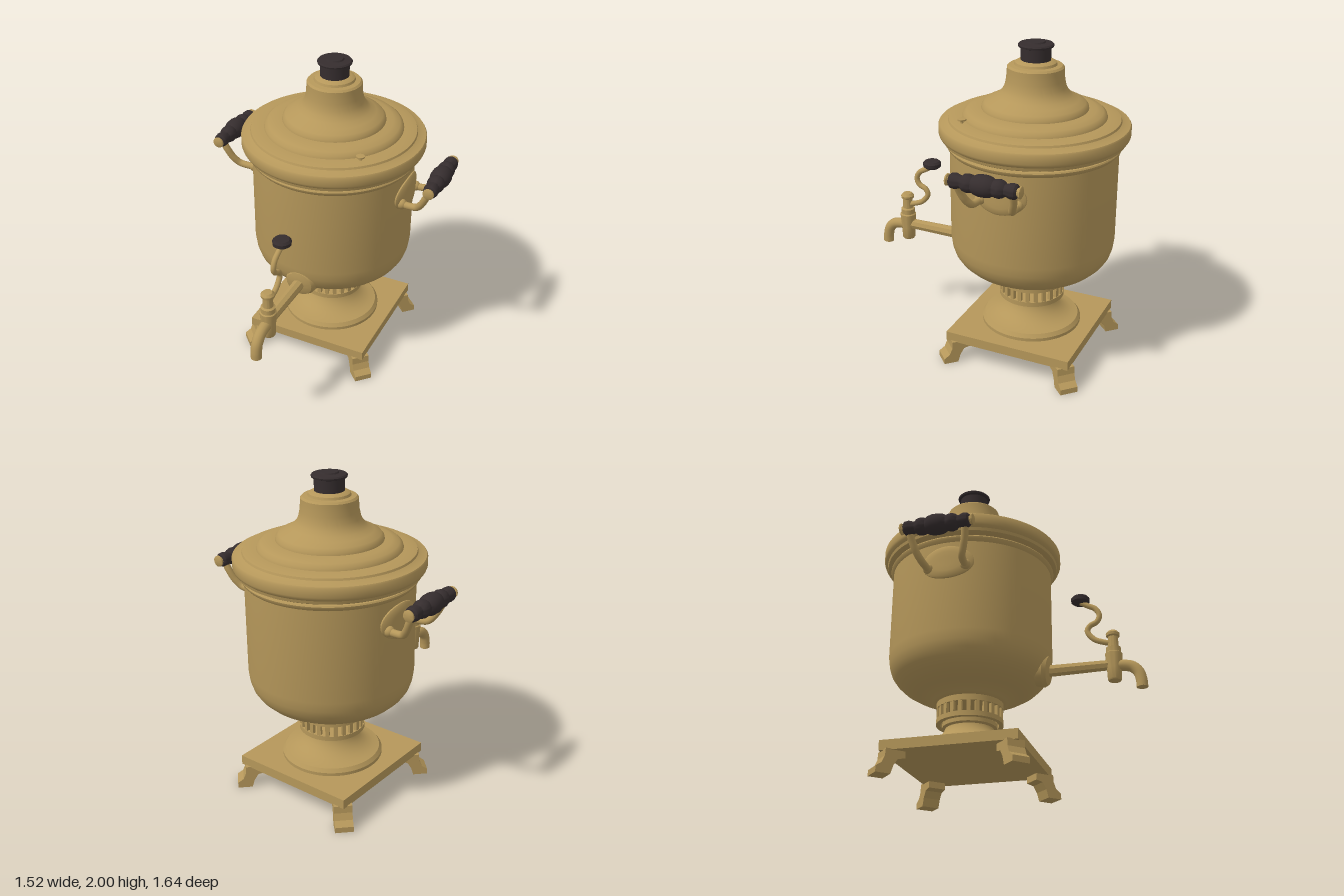
import * as THREE from 'three';
import { toCreasedNormals } from 'three/addons/utils/BufferGeometryUtils.js';

const AXIS_Z = -0.255; // the urn stands behind the tap

export function createModel() {
  const brass = new THREE.MeshStandardMaterial({ color: 0xb5975a });
  brass.name = 'brass';
  const ebony = new THREE.MeshStandardMaterial({ color: 0x352d2e });
  ebony.name = 'ebony';

  const model = new THREE.Group();
  model.name = 'samovar';
  const urn = new THREE.Group();
  urn.name = 'urn';
  urn.position.z = AXIS_Z;
  model.add(urn);

  const add = (parent, name, geometry, material = brass) => {
    const mesh = new THREE.Mesh(geometry, material);
    mesh.name = name;
    parent.add(mesh);
    return mesh;
  };
  const turned = (profile, segments = 64) => toCreasedNormals(
    new THREE.LatheGeometry(profile.map(([r, y]) => new THREE.Vector2(r, y)), segments), 0.6);
  const bentRod = (points, radius, steps = 40) => new THREE.TubeGeometry(
    new THREE.CatmullRomCurve3(points.map(p => new THREE.Vector3(...p)), false, 'centripetal'),
    steps, radius, 14);

  // Square plinth on four splayed feet
  add(urn, 'plinth', new THREE.BoxGeometry(0.81, 0.06, 0.81)).position.y = 0.17;
  const footSide = new THREE.Shape([
    [0.43, 0.145], [0.43, 0.1], [0.475, 0.09], [0.5, 0.05], [0.515, 0], [0.605, 0],
    [0.605, 0.035], [0.57, 0.06], [0.553, 0.1], [0.55, 0.145],
  ].map(p => new THREE.Vector2(...p)));
  const footGeometry = new THREE.ExtrudeGeometry(footSide, { depth: 0.11, bevelEnabled: false });
  footGeometry.translate(0, 0, -0.055);
  for (let i = 0; i < 4; i++) {
    add(urn, 'foot', footGeometry).rotation.y = Math.PI / 4 + i * Math.PI / 2;
  }

  // Flared pedestal
  add(urn, 'pedestal', turned([
    [0, 0.195], [0.312, 0.195], [0.312, 0.22], [0.295, 0.243], [0.255, 0.252], [0.22, 0.268],
    [0.19, 0.288], [0.168, 0.312], [0.152, 0.338], [0.148, 0.352], [0.165, 0.36], [0.165, 0.385], [0, 0.385],
  ]));

  // Open vent ring: two hoops joined by bars
  const hoop = (y0, y1) => turned([[0.175, y0], [0.203, y0], [0.203, y1], [0.175, y1], [0.175, y0]]);
  add(urn, 'lowerVentHoop', hoop(0.38, 0.41));
  add(urn, 'upperVentHoop', hoop(0.475, 0.515));
  const barGeometry = new THREE.BoxGeometry(0.024, 0.08, 0.022);
  barGeometry.translate(0, 0.443, 0.189);
  const BARS = 24;
  for (let i = 0; i < BARS; i++) {
    add(urn, 'ventBar', barGeometry).rotation.y = i * 2 * Math.PI / BARS;
  }

  // Water vessel
  add(urn, 'vessel', turned([
    [0, 0.51], [0.2, 0.51], [0.225, 0.525], [0.25, 0.545], [0.31, 0.565], [0.365, 0.59], [0.415, 0.62],
    [0.455, 0.658], [0.48, 0.695], [0.495, 0.74], [0.503, 0.8], [0.503, 1.365], [0.517, 1.38],
    [0.52, 1.392], [0.515, 1.4], [0.495, 1.402], [0.495, 1.415], [0, 1.415],
  ], 96));

  // Stepped lid with chimney
  add(urn, 'lid', turned([
    [0, 1.412], [0.525, 1.412], [0.54, 1.42], [0.545, 1.438], [0.56, 1.45], [0.566, 1.465], [0.566, 1.515],
    [0.56, 1.524], [0.53, 1.53], [0.51, 1.54], [0.505, 1.552], [0.47, 1.56], [0.425, 1.562],
    [0.42, 1.578], [0.4, 1.595], [0.36, 1.607], [0.315, 1.61], [0.312, 1.625], [0.295, 1.645],
    [0.255, 1.665], [0.22, 1.685], [0.195, 1.71], [0.18, 1.74], [0.171, 1.78], [0.167, 1.83],
    [0.166, 1.852], [0.155, 1.863], [0.125, 1.866], [0.12, 1.88], [0.1, 1.892], [0, 1.892],
  ], 96));
  add(urn, 'lidKnob', turned([
    [0, 1.888], [0.087, 1.888], [0.088, 1.965], [0.102, 1.97], [0.105, 1.98], [0.098, 1.988],
    [0.055, 1.992], [0.05, 2], [0, 2],
  ], 48), ebony);
  add(urn, 'steamVent', turned([
    [0, 1.54], [0.01, 1.54], [0.01, 1.57], [0.026, 1.577], [0.026, 1.586], [0, 1.588],
  ], 20)).position.set(0.315, 0, 0.32);

  // Side handles: curved back plate, two arms, turned grip
  const plateGeometry = new THREE.LatheGeometry([[1, -0.01], [1, 0.008], [0.9, 0.016], [0.6, 0.02],
    [0.3, 0.02], [0, 0.02]].map(p => new THREE.Vector2(...p)), 48);
  const at = plateGeometry.attributes.position;
  for (let i = 0; i < at.count; i++) {
    const z = at.getZ(i) * 0.16;
    const r = 0.503 + at.getY(i);
    at.setXYZ(i, Math.sqrt(r * r - z * z), 1.23 - at.getX(i) * 0.105, z);
  }
  const handlePlate = toCreasedNormals(plateGeometry, 0.6);

  const half = [[0.033, 0.2], [0.042, 0.19], [0.045, 0.165], [0.036, 0.138], [0.036, 0.13], [0.048, 0.115],
    [0.053, 0.095], [0.051, 0.075], [0.046, 0.062], [0.056, 0.045], [0.062, 0.02]];
  const gripProfile = [[0, -0.2], ...half.map(([r, y]) => [r, -y]),
    ...half.slice().reverse(), [0, 0.2]];
  const gripGeometry = turned(gripProfile, 32).rotateX(Math.PI / 2);
  const ferrule = turned([[0, 0.195], [0.024, 0.195], [0.024, 0.207], [0.034, 0.212],
    [0.034, 0.22], [0.025, 0.225], [0, 0.225]], 24);

  for (const turn of [0, Math.PI]) {
    const handle = new THREE.Group();
    handle.name = turn ? 'rightHandle' : 'leftHandle';
    handle.rotation.y = turn;
    urn.add(handle);
    add(handle, 'backPlate', handlePlate);
    const grip = add(handle, 'grip', gripGeometry, ebony);
    grip.position.set(0.7, 1.375, 0);
    for (const s of [-1, 1]) {
      add(handle, 'arm', bentRod([
        [0.48, 1.2, s * 0.115], [0.56, 1.198, s * 0.118], [0.605, 1.208, s * 0.125],
        [0.64, 1.25, s * 0.145], [0.67, 1.31, s * 0.162], [0.7, 1.375, s * 0.17],
      ], 0.022));
      const boss = add(handle, 'armBoss', new THREE.SphereGeometry(0.032, 20, 14));
      boss.position.set(0.505, 1.2, s * 0.115);
      const cap = add(handle, 'gripFerrule', ferrule);
      cap.position.set(0.7, 1.375, 0);
      cap.rotation.x = s * Math.PI / 2;
    }
  }

  // Tap: rosette, faceted pipe, valve and spout
  const tap = new THREE.Group();
  tap.name = 'tap';
  model.add(tap);
  const rosette = add(tap, 'rosette', turned([
    [0, -0.06], [0.095, -0.06], [0.1, -0.015], [0.085, 0.008], [0.055, 0.018], [0, 0.02],
  ], 40));
  rosette.rotation.x = Math.PI / 2 + 0.12;
  rosette.position.set(0, 0.685, 0.228);
  const pipe = add(tap, 'pipe', toCreasedNormals(new THREE.CylinderGeometry(0.033, 0.038, 0.4, 8), 0.4));
  pipe.rotation.x = Math.PI / 2;
  pipe.position.set(0, 0.683, 0.42);
  add(tap, 'valve', turned([
    [0, 0.58], [0.036, 0.58], [0.041, 0.588], [0.044, 0.66], [0.051, 0.742], [0.051, 0.752], [0.044, 0.758],
    [0.044, 0.79], [0.032, 0.797], [0.03, 0.86], [0.04, 0.866], [0.042, 0.882], [0.028, 0.898], [0, 0.9],
  ], 32)).position.z = 0.632;
  add(tap, 'spout', bentRod([
    [0, 0.67, 0.63], [0, 0.672, 0.69], [0, 0.658, 0.74], [0, 0.62, 0.775], [0, 0.57, 0.788], [0, 0.525, 0.79],
  ], 0.034));
  const mouth = add(tap, 'spoutMouth', new THREE.CircleGeometry(0.034, 20));
  mouth.rotation.x = Math.PI / 2;
  mouth.position.set(0, 0.526, 0.79);

  // Winding tap lever with a dark knob
  add(tap, 'lever', bentRod([
    [0, 0.82, 0.63], [0, 0.835, 0.575], [0, 0.86, 0.52], [0, 0.915, 0.48], [0, 0.95, 0.495],
    [0, 0.975, 0.54], [0, 1.015, 0.556], [0, 1.06, 0.535], [0, 1.087, 0.49], [0, 1.115, 0.445],
  ], 0.017, 70));
  add(tap, 'leverKnob', turned([
    [0, 1.105], [0.04, 1.105], [0.056, 1.118], [0.057, 1.14], [0.045, 1.153], [0, 1.156],
  ], 28), ebony).position.z = 0.443;

  return model;
}
